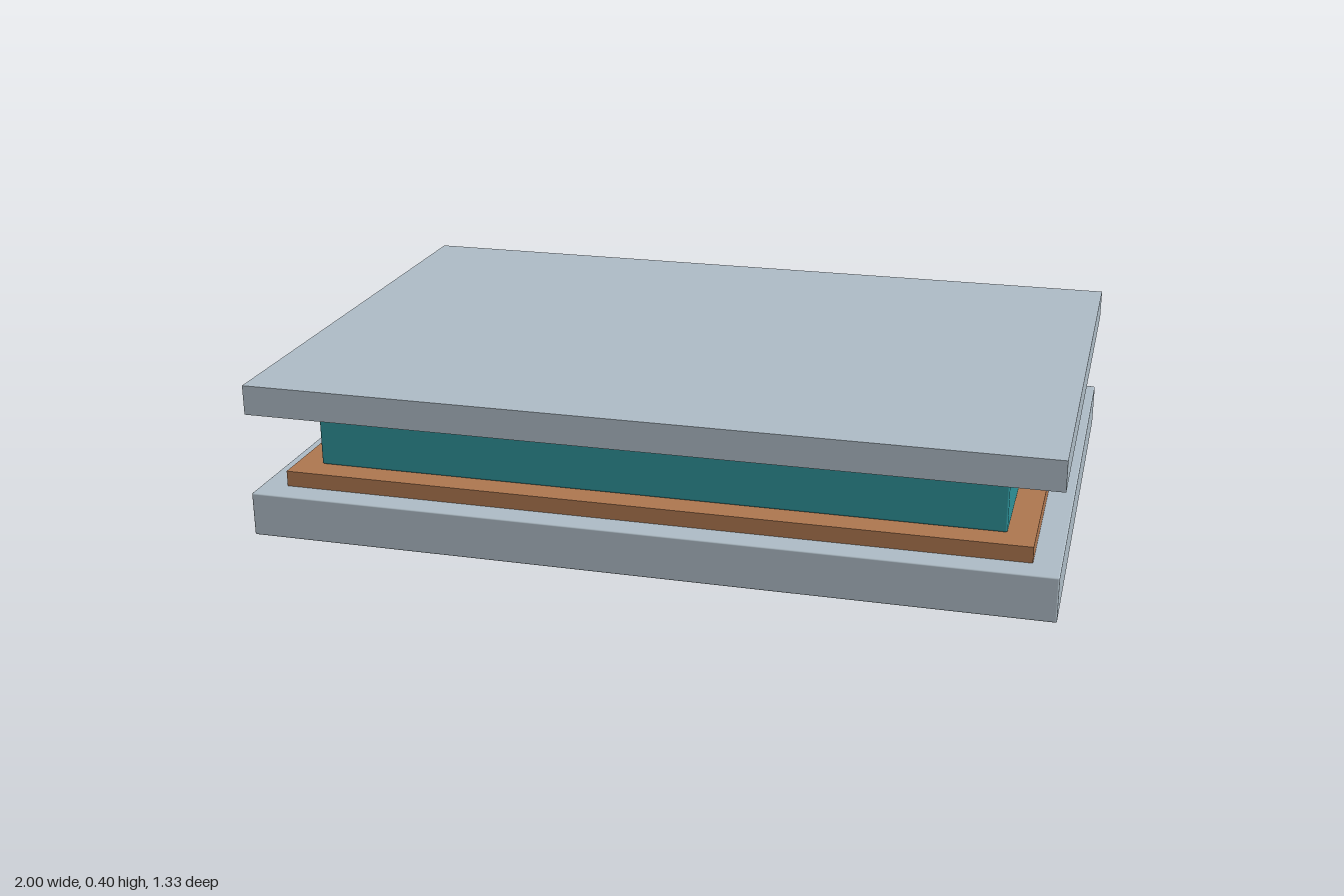
import * as THREE from 'three';
import { RoundedBoxGeometry } from 'three/addons/geometries/RoundedBoxGeometry.js';

const material = (name, color) => {
  const m = new THREE.MeshStandardMaterial({ color });
  m.name = name;
  return m;
};

export function createModel() {
  const group = new THREE.Group();
  group.name = 'layeredPlateStack';

  const grey = material('paleGrey', 0xb0bec8);
  const copper = material('copper', 0xb07850);
  const teal = material('teal', 0x2e9299);
  const gold = material('dullGold', 0xb89f64);

  // Layers from the bottom up: name, width, height, depth, edge radius, material
  const layers = [
    ['basePlate', 2, 0.113, 1.333, 0.004, grey],
    ['lowerPlate', 1.867, 0.04, 1.2, 0, copper],
    ['coreBlock', 1.733, 0.126, 1.067, 0.005, teal],
    ['upperPlate', 1.6, 0.044, 0.933, 0, gold],
    ['topPlate', 2, 0.076, 1.333, 0, grey],
  ];

  let y = 0;
  for (const [name, w, h, d, radius, mat] of layers) {
    const geometry = radius
      ? new RoundedBoxGeometry(w, h, d, 2, radius)
      : new THREE.BoxGeometry(w, h, d);
    const mesh = new THREE.Mesh(geometry, mat);
    mesh.name = name;
    mesh.position.y = y + h / 2;
    group.add(mesh);
    y += h;
  }
  return group;
}
